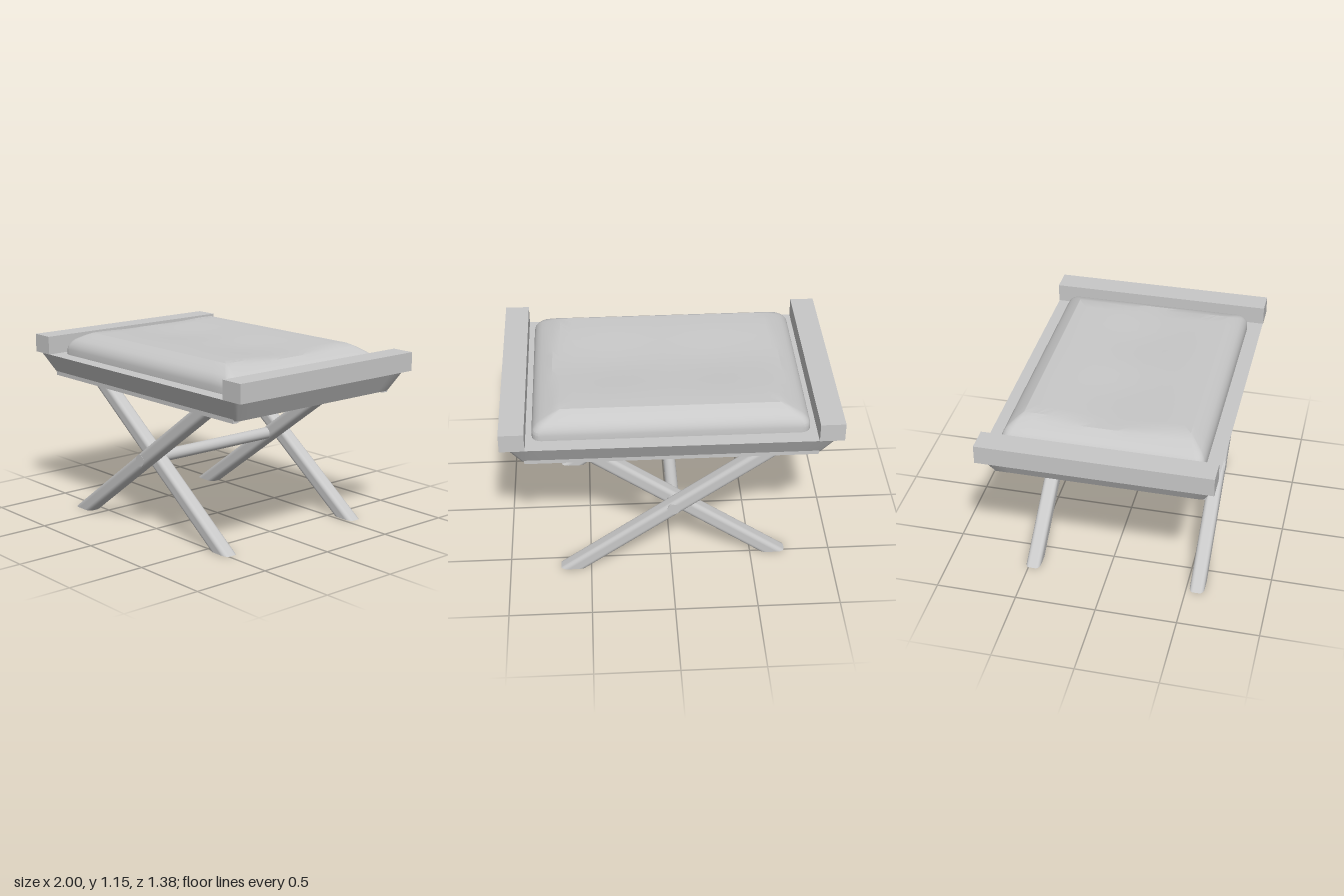
import * as THREE from 'three';
import { toCreasedNormals } from 'three/addons/utils/BufferGeometryUtils.js';

const SIDE = 14, ARC = 5; // samples per straight side and per rounded corner

// Rounded rectangle at height y, counter-clockwise seen from above
function ring(hx, hz, r, y) {
  const corners = [[1, -1], [-1, -1], [-1, 1], [1, 1]];
  const pts = [];
  corners.forEach(([sx, sz], k) => {
    const arc = [];
    for (let i = 0; i <= ARC; i++) {
      const a = (k + i / ARC) * Math.PI / 2;
      arc.push(new THREE.Vector3(sx * (hx - r) + r * Math.cos(a), y, sz * (hz - r) - r * Math.sin(a)));
    }
    pts.push(...arc);
    // straight run to the next corner
    const [nx, nz] = corners[(k + 1) % 4];
    const a = (k + 1) * Math.PI / 2;
    const next = new THREE.Vector3(nx * (hx - r) + r * Math.cos(a), y, nz * (hz - r) - r * Math.sin(a));
    for (let i = 1; i < SIDE; i++) pts.push(arc[ARC].clone().lerp(next, i / SIDE));
  });
  return pts;
}

// Skin a stack of rings, listed from bottom to top
function loft(rings, crease) {
  const n = rings[0].length, pos = [], idx = [];
  rings.forEach(r => r.forEach(p => pos.push(p.x, p.y, p.z)));
  for (let j = 0; j < rings.length - 1; j++) {
    for (let i = 0; i < n; i++) {
      const a = j * n + i, b = j * n + (i + 1) % n;
      idx.push(a, b, b + n, a, b + n, a + n);
    }
  }
  const g = new THREE.BufferGeometry();
  g.setAttribute('position', new THREE.Float32BufferAttribute(pos, 3));
  g.setIndex(idx);
  return toCreasedNormals(g, crease);
}

// Padded cushion with a shallow trough across the middle
function cushionGeometry() {
  const hx = 0.815, hz = 0.6;
  const profile = [[0, 1.0], [0, 1.035], [0.005, 1.053], [0.015, 1.069], [0.03, 1.085],
    [0.05, 1.099], [0.08, 1.113], [0.12, 1.131], [0.165, 1.147]];
  const rings = profile.map(([d, y]) => ring(hx - d, hz - d * 0.66, 0.055 - d * 0.28, y));
  for (const s of [0.88, 0.74, 0.6, 0.46, 0.32, 0.18, 0.08, 0.002]) {
    rings.push(ring(0.65 * s, 0.491 * s, 0.009 * s, 1.147));
  }
  rings.slice(profile.length - 1).forEach(r => r.forEach(p => {
    const trough = Math.abs(p.z) < 0.44 ? (1 + Math.cos(Math.PI * p.z / 0.44)) / 2 : 0;
    const seats = Math.exp(-(((Math.abs(p.x) - 0.3) / 0.18) ** 2));
    p.y -= trough * (0.015 + 0.006 * seats);
  }));
  return loft(rings, 0.35);
}

// Slanted leg with rounded edges, cut level at floor and seat
function legGeometry(xBottom, xTop, height) {
  const hx = 0.079, hz = 0.046, r = 0.026;
  const slope = (xTop - xBottom) / height;
  const section = (y, s) => ring(0.0465 * s, hz * s, r * s, y)
    .map(p => p.set(p.x * hx / 0.0465 + xBottom + slope * y, y, p.z));
  return loft([section(0, 0.002), section(0, 1), section(height, 1), section(height, 0.002)], 0.6);
}

export function createModel() {
  const group = new THREE.Group();
  const grey = new THREE.MeshStandardMaterial({ color: 0xc8c8c8 });
  grey.name = 'light grey';
  const add = (name, geometry, x = 0, y = 0, z = 0) => {
    const mesh = new THREE.Mesh(geometry, grey);
    mesh.name = name;
    mesh.position.set(x, y, z);
    group.add(mesh);
    return mesh;
  };

  // Seat: tapered tray and cushion
  add('seatTray', loft([
    ring(0.002, 0.002, 0.0005, 0.87), ring(0.885, 0.62, 0.02, 0.87),
    ring(0.955, 0.69, 0.03, 1.0), ring(0.002, 0.002, 0.0005, 1.0),
  ], 0.6));
  add('cushion', cushionGeometry());

  // Side rails and the strips under the long edges
  for (const s of [1, -1]) {
    add(s > 0 ? 'leftRail' : 'rightRail', new THREE.BoxGeometry(0.147, 0.115, 1.384), s * 0.9265, 1.0575, 0);
    add(s > 0 ? 'frontStrip' : 'backStrip', new THREE.BoxGeometry(1.73, 0.035, 0.04), 0, 0.8735, s * 0.606);
  }

  // Crossed legs, side by side at front and back
  const rising = legGeometry(-0.64, 0.565, 0.872);
  const falling = legGeometry(0.61, -0.595, 0.872);
  add('frontOuterLeg', rising, 0, 0, 0.566);
  add('frontInnerLeg', falling, 0, 0, 0.475);
  add('backInnerLeg', rising, 0, 0, -0.475);
  add('backOuterLeg', falling, 0, 0, -0.566);

  // Round bar through both crossings
  add('crossbar', new THREE.CylinderGeometry(0.038, 0.038, 1.226, 20), -0.012, 0.457, 0).rotation.x = Math.PI / 2;

  return group;
}
